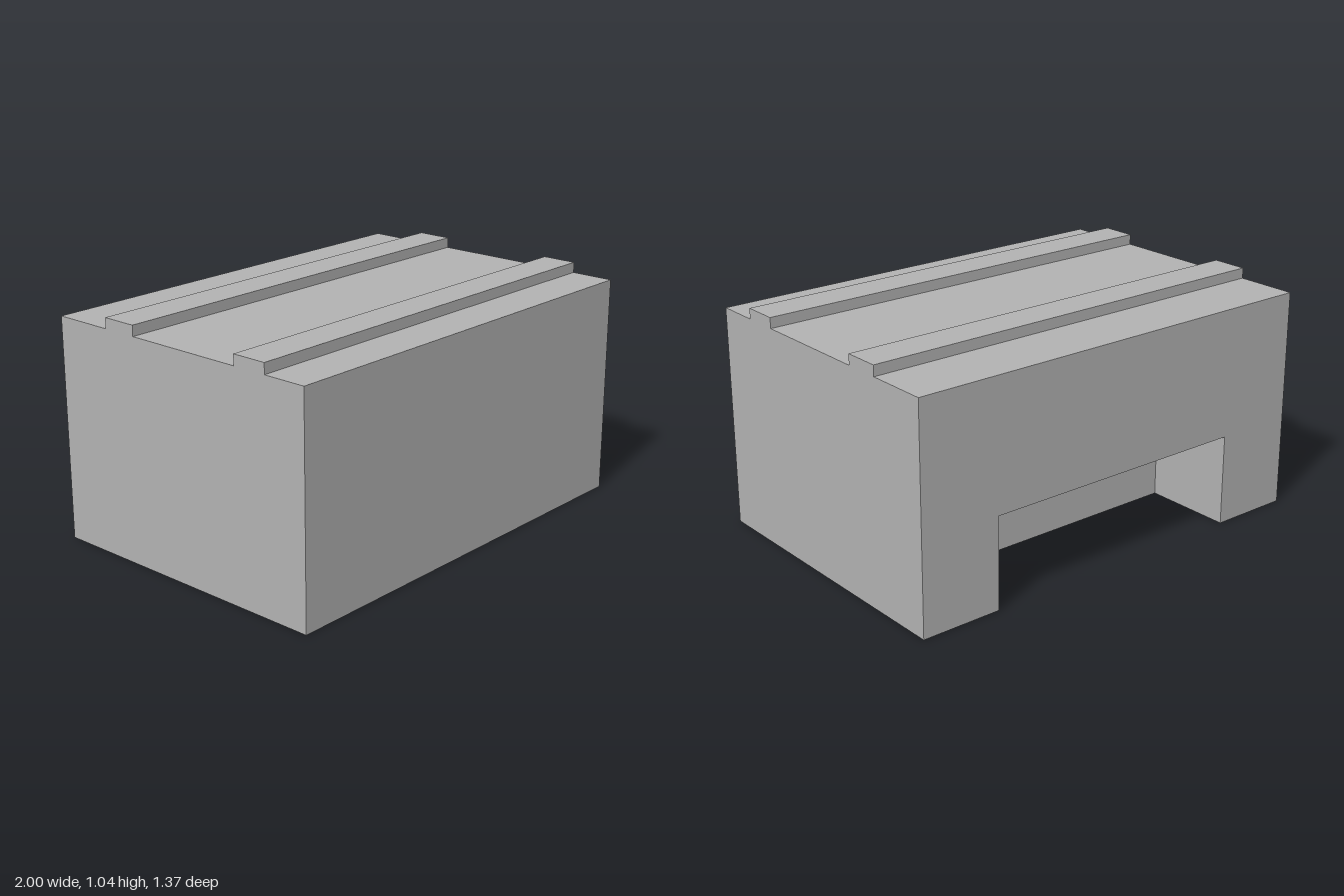
import * as THREE from 'three';

const HALF_W = 1, HALF_D = 0.684, H = 0.993, RAIL_TOP = 1.04;
const NOTCH = { halfW: 0.63, h: 0.412, inner: -0.27 };

// Upper outline as [z, y], from the front bottom over both rails to the back bottom
const profile = [
  [HALF_D, 0], [HALF_D, H],
  [0.486, H], [0.486, RAIL_TOP], [0.325, RAIL_TOP], [0.325, H],
  [-0.24, H], [-0.24, RAIL_TOP], [-0.404, RAIL_TOP], [-0.404, H],
  [-HALF_D, H], [-HALF_D, 0],
];

export function createModel() {
  const group = new THREE.Group();
  group.name = 'notchedBlock';
  const grey = new THREE.MeshStandardMaterial({ color: 0xb2b2b2 });
  grey.name = 'grey';

  const add = (name, geometry) => {
    const mesh = new THREE.Mesh(geometry, grey);
    mesh.name = name;
    group.add(mesh);
    return mesh;
  };
  // Flat outline facing +z, to be turned into place
  const flat = (points) =>
    new THREE.ShapeGeometry(new THREE.Shape(points.map(([x, y]) => new THREE.Vector2(x, y))));

  // Ends, with the rails in their outline
  add('leftSide', flat(profile.map(([z, y]) => [-z, y])).rotateY(Math.PI / 2).translate(HALF_W, 0, 0));
  add('rightSide', flat(profile).rotateY(-Math.PI / 2).translate(-HALF_W, 0, 0));

  // Front, top and rail faces: one strip across the width for each profile edge
  for (let i = 0; i < profile.length - 2; i++) {
    const [z0, y0] = profile[i], [z1, y1] = profile[i + 1];
    const length = Math.hypot(z1 - z0, y1 - y0);
    const name = i === 0 ? 'front' : y0 === y1 && y0 === H ? 'top' : 'rail';
    const strip = new THREE.PlaneGeometry(2 * HALF_W, length)
      .rotateX(Math.atan2(z1 - z0, y1 - y0))
      .translate(0, (y0 + y1) / 2, (z0 + z1) / 2);
    add(name, strip);
  }

  // Back and underside, both cut by the recess
  const { halfW, h, inner } = NOTCH;
  add('back', flat([
    [-HALF_W, 0], [-halfW, 0], [-halfW, h], [halfW, h], [halfW, 0],
    [HALF_W, 0], [HALF_W, H], [-HALF_W, H],
  ]).rotateY(Math.PI).translate(0, 0, -HALF_D));
  add('underside', flat([
    [-HALF_W, -HALF_D], [-halfW, -HALF_D], [-halfW, inner], [halfW, inner],
    [halfW, -HALF_D], [HALF_W, -HALF_D], [HALF_W, HALF_D], [-HALF_W, HALF_D],
  ]).rotateX(Math.PI / 2));

  // Recess walls and ceiling
  const depth = inner + HALF_D, midZ = (inner - HALF_D) / 2;
  add('recessWall', new THREE.PlaneGeometry(2 * halfW, h).rotateY(Math.PI).translate(0, h / 2, inner));
  add('recessCeiling', new THREE.PlaneGeometry(2 * halfW, depth).rotateX(Math.PI / 2).translate(0, h, midZ));
  for (const side of [-1, 1]) {
    add('recessSide', new THREE.PlaneGeometry(depth, h)
      .rotateY(-side * Math.PI / 2).translate(side * halfW, h / 2, midZ));
  }
  return group;
}
